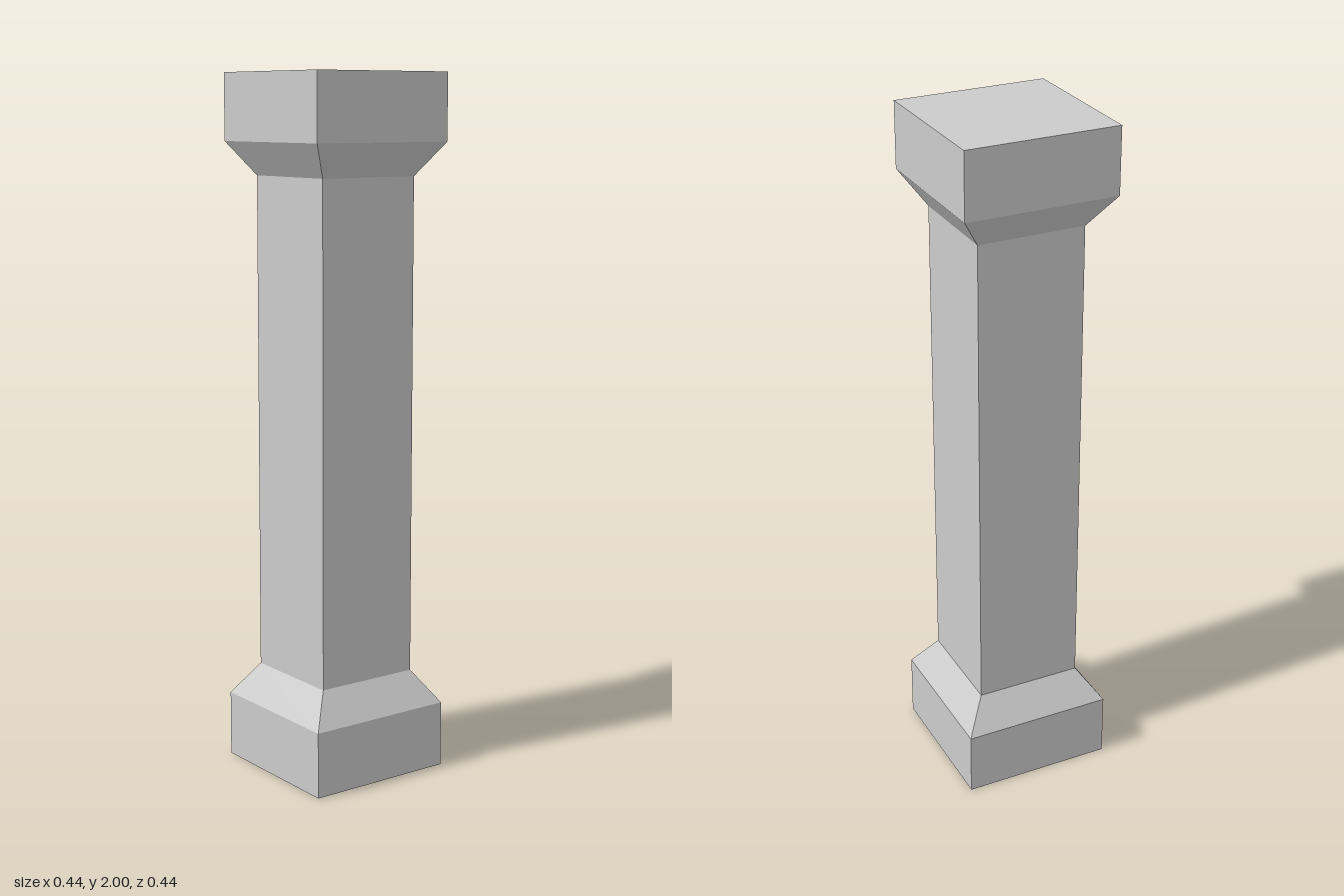
import * as THREE from 'three';

const material = new THREE.MeshStandardMaterial({
  color: 0xcccccc, flatShading: true, side: THREE.DoubleSide,
});

// Square section swept up through [halfWidth, height] pairs
function squareSection(name, profile) {
  const points = profile.map(([half, y]) => new THREE.Vector2(half * Math.SQRT2, y));
  const mesh = new THREE.Mesh(new THREE.LatheGeometry(points, 4, Math.PI / 4), material);
  mesh.name = name;
  return mesh;
}

export function createModel() {
  const group = new THREE.Group();
  group.name = 'column';
  const wide = 0.222, narrow = 0.157;

  // Hollow plinth, open underneath, tapering to the shaft
  group.add(squareSection('base', [[wide, 0], [wide, 0.19], [narrow, 0.285]]));
  // Plain square shaft
  group.add(squareSection('shaft', [[narrow, 0.285], [narrow, 1.715]]));
  // Flared capital with a closed top
  group.add(squareSection('capital', [[narrow, 1.715], [wide, 1.81], [wide, 2], [0, 2]]));

  return group;
}
